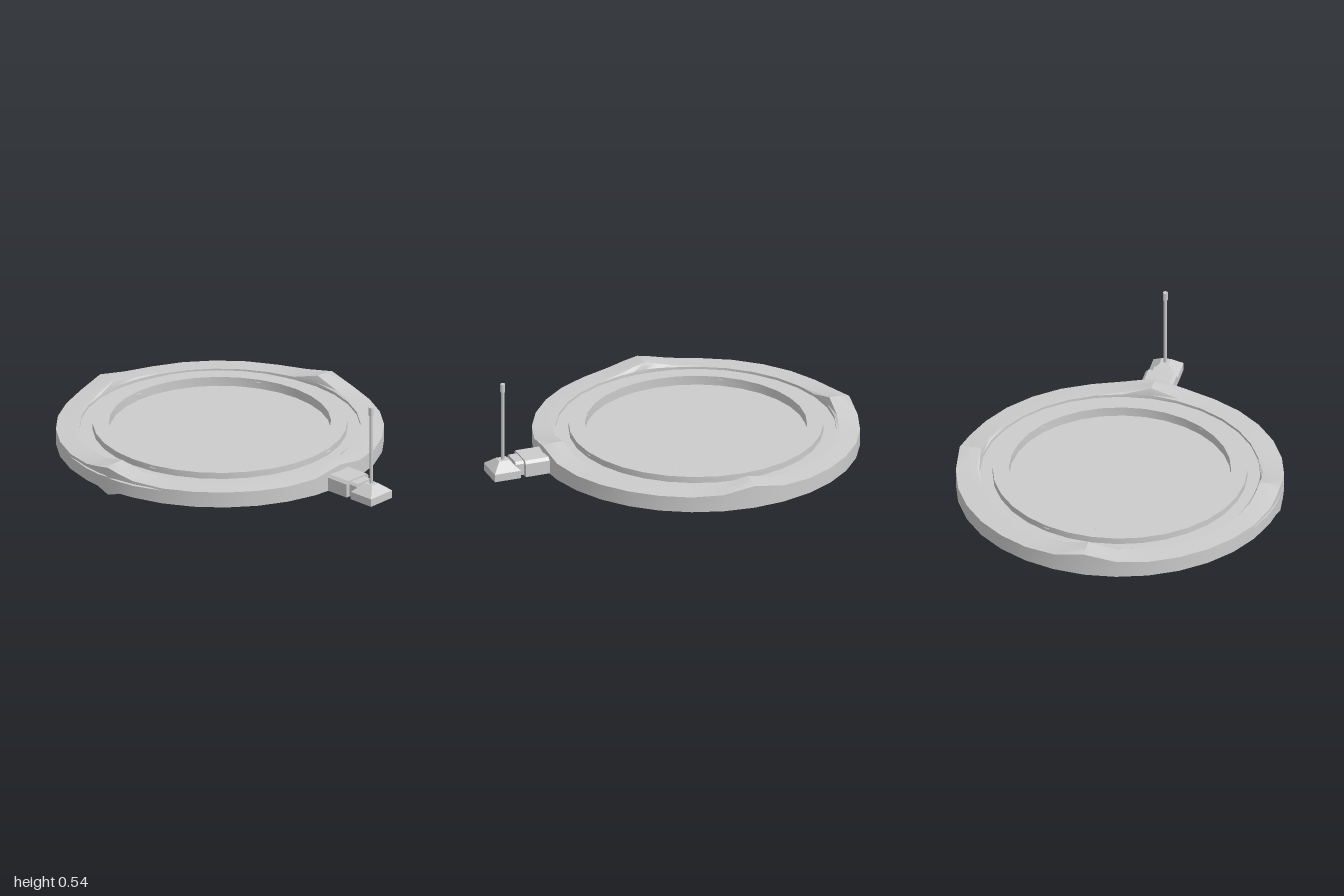
import * as THREE from 'three';
import { toCreasedNormals } from 'three/addons/utils/BufferGeometryUtils.js';

const grey = new THREE.MeshStandardMaterial({ color: 0xcccccc });
const CX = -0.147; // centre of the disc
const SEG = 32;
const STEP = 360 / SEG;

function add(parent, name, geometry, x = 0, y = 0, z = 0) {
  const mesh = new THREE.Mesh(geometry, grey);
  mesh.name = name;
  mesh.position.set(x, y, z);
  parent.add(mesh);
  return mesh;
}

// 1 at the four bump peaks, falling off to 0 over two segments
function bump(deg) {
  const d = Math.abs(((deg + 45) % 90) - 45) / STEP;
  return d < 1 ? 1 - 0.8 * d : Math.max(0, 0.2 * (2 - d));
}

// Disc body: cross-sections swept round the centre, varying with the angle
function discGeometry() {
  const angles = Array.from({ length: SEG }, (_, i) => i * STEP);
  angles.push(85, 95);
  angles.sort((a, b) => a - b);
  const sections = angles.map((deg) => {
    const b = bump(deg);
    const front = Math.abs(deg - 90);
    const dip = front < 1 ? 0.027 : 0; // pointed foot at the front
    const groove = front > 4 && front < 13 ? 0.025 : 0; // slit beside the front bump
    const a = THREE.MathUtils.degToRad(deg);
    return [
      [0.85, 0.028 - dip],
      [0.85, 0.094],
      [0.85 - groove, 0.099],
      [0.85, 0.104],
      [0.85, 0.112 + 0.04 * b],
      [0.8, 0.115 + 0.046 * b],
      [0.74, 0.12 + 0.042 * b],
      [0.727, 0.12 + 0.008 * b],
      [0.727, 0.106],
      [0.655, 0.106],
    ].map(([r, y]) => [r * Math.cos(a), y, r * Math.sin(a)]);
  });
  const pos = [];
  const tri = (...pts) => pts.forEach((p) => pos.push(...p));
  const n = sections.length;
  for (let i = 0; i < n; i++) {
    const s = sections[i];
    const t = sections[(i + 1) % n];
    for (let j = 0; j < s.length - 1; j++) {
      tri(s[j], s[j + 1], t[j]);
      tri(t[j], s[j + 1], t[j + 1]);
    }
    // underside, fanned from one corner
    if (i > 0 && i < n - 1) tri(sections[0][0], s[0], t[0]);
  }
  const g = new THREE.BufferGeometry();
  g.setAttribute('position', new THREE.Float32BufferAttribute(pos, 3));
  return toCreasedNormals(g, 0.45);
}

// Lathe with sharp profile corners
function lathe(points) {
  const g = new THREE.LatheGeometry(points.map((p) => new THREE.Vector2(...p)), SEG, Math.PI / 2);
  return toCreasedNormals(g, 0.45);
}

// Box with its top face scaled, for the pole foot
function taperedBox(w, h, d, topW, topD) {
  const g = new THREE.BoxGeometry(w, h, d).toNonIndexed();
  const p = g.attributes.position;
  for (let i = 0; i < p.count; i++) {
    if (p.getY(i) > 0) {
      p.setX(i, (p.getX(i) * topW) / w);
      p.setZ(i, (p.getZ(i) * topD) / d);
    }
  }
  g.computeVertexNormals();
  return g;
}

// Block running along x with chamfered top edges
function armBlock(x0, x1, half, bottom, top, chamfer) {
  const s = new THREE.Shape([
    [-half, bottom], [half, bottom], [half, top - chamfer],
    [half - chamfer, top], [chamfer - half, top], [-half, top - chamfer],
  ].map((p) => new THREE.Vector2(...p)));
  const g = new THREE.ExtrudeGeometry(s, { depth: x1 - x0, bevelEnabled: false });
  return g.rotateY(Math.PI / 2).translate(x0, 0, 0);
}

export function createModel() {
  const model = new THREE.Group();
  model.name = 'discPlatform';

  const disc = new THREE.Group();
  disc.name = 'disc';
  disc.position.x = CX;
  model.add(disc);
  add(disc, 'rimAndUnderside', discGeometry());
  add(disc, 'raisedRing', lathe([[0.66, 0.1], [0.66, 0.14], [0.575, 0.14], [0.575, 0.09]]));
  add(disc, 'sunkenFloor', new THREE.CircleGeometry(0.578, SEG).rotateX(-Math.PI / 2), 0, 0.09, 0);

  // Small nicks on the inner and outer edges of the ring: angle, edge radius, inward or outward
  const nicks = [
    [180, 0.575, 1], [247.5, 0.575, 1], [303, 0.575, 1], [34, 0.575, 1], [123.7, 0.575, 1],
    [202.5, 0.66, -1], [348.6, 0.66, -1], [78.8, 0.66, -1],
  ];
  for (const [deg, r, dir] of nicks) {
    const g = new THREE.ConeGeometry(0.02, 0.02, 3, 1);
    g.rotateY(dir > 0 ? Math.PI / 2 : -Math.PI / 2);
    const holder = new THREE.Group();
    holder.name = 'ringNick';
    holder.rotation.y = -THREE.MathUtils.degToRad(deg);
    add(holder, 'nick', toCreasedNormals(g, 0.1), r + dir * 0.008, 0.133, 0);
    disc.add(holder);
  }

  // Side arm
  add(model, 'armBlock', armBlock(0.66, 0.828, 0.083, 0.03, 0.118, 0.015));
  add(model, 'armNeck', armBlock(0.82, 0.875, 0.06, 0.034, 0.11, 0.012));

  // Pole with its foot and cap
  const pole = new THREE.Group();
  pole.name = 'pole';
  pole.position.x = 0.924;
  model.add(pole);
  add(pole, 'footBlock', new THREE.BoxGeometry(0.144, 0.042, 0.16), 0.002, 0.049, 0);
  add(pole, 'footSlope', taperedBox(0.144, 0.045, 0.16, 0.055, 0.05), 0.002, 0.0925, 0);
  const tube = (r, h) => toCreasedNormals(new THREE.CylinderGeometry(r, r, h, 10), 0.7);
  add(pole, 'poleShaft', tube(0.0095, 0.4), 0, 0.31, 0);
  add(pole, 'poleCap', tube(0.013, 0.045), 0, 0.52, 0);

  return model;
}
